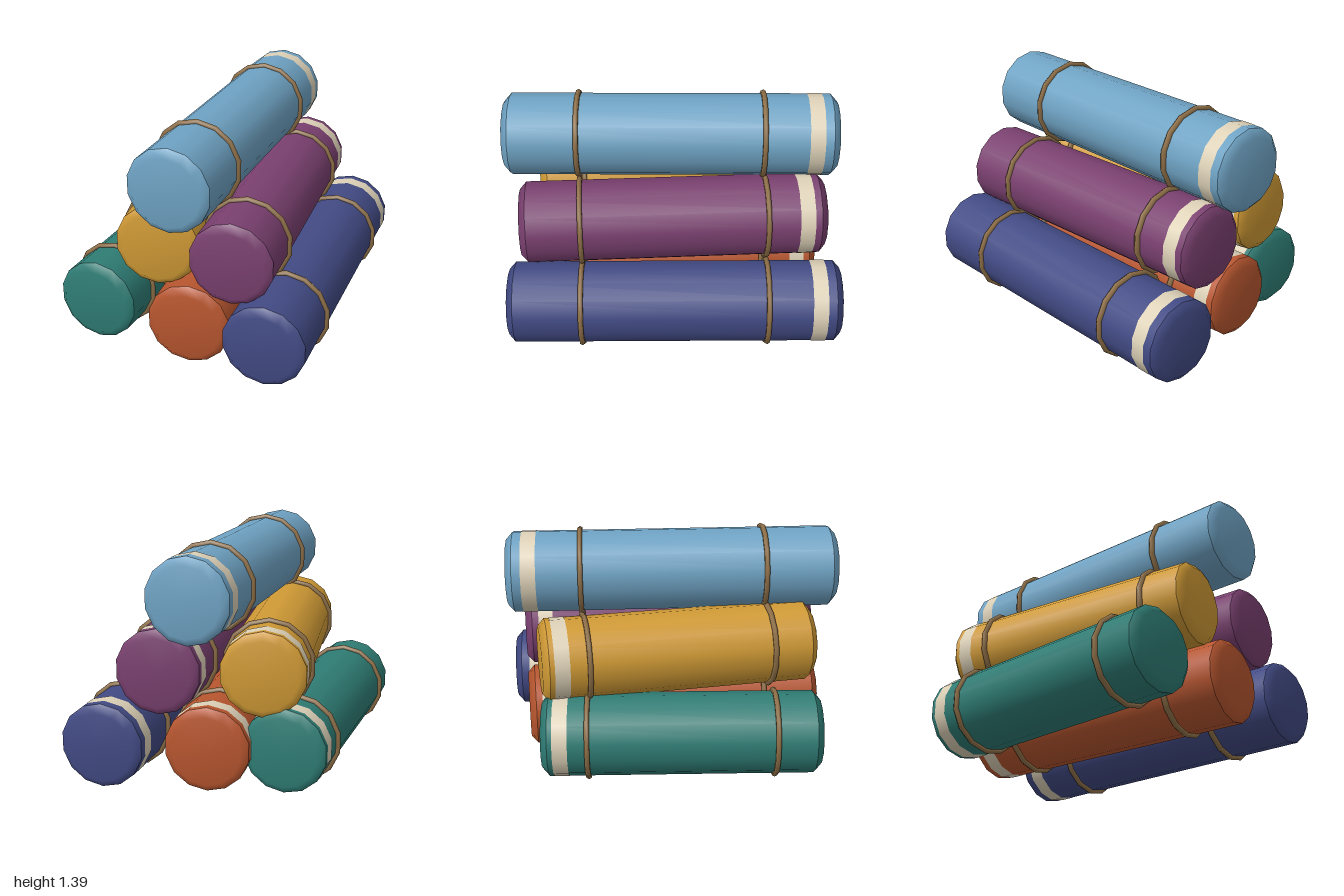
import * as THREE from 'three';

const SIDES = 14;
const RADIUS = 0.245;
const CHAMFER = 0.04;
const CREAM = 0xded2b8;
const BROWN = 0x8f7048;

// name, colour, centre x, centre y, half length, sideways lean of the front end
const ROLLS = [
  ['tealRoll', 0x2f7d75, -0.507, 0.27, 0.82, -0.086],
  ['orangeRoll', 0xb8562f, 0.005, 0.27, 0.9, 0.028],
  ['navyRoll', 0x424b85, 0.535, 0.27, 0.988, -0.037],
  ['yellowRoll', 0xd09a35, -0.25, 0.7, 0.82, 0.088],
  ['purpleRoll', 0x7a4070, 0.272, 0.7, 0.905, 0.0145],
  ['lightBlueRoll', 0x6fa3c4, 0.01, 1.126, 0.99, -0.05],
];

function addMesh(group, name, geometry, material, z = 0) {
  const mesh = new THREE.Mesh(geometry, material);
  mesh.name = name;
  mesh.position.z = z;
  group.add(mesh);
  return mesh;
}

// Open tube along z
function tube(radius, length) {
  return new THREE.CylinderGeometry(radius, radius, length, SIDES, 1, true).rotateX(Math.PI / 2);
}

function createRoll([name, color, x, y, half, lean]) {
  const roll = new THREE.Group();
  roll.name = name;
  const cloth = new THREE.MeshStandardMaterial({ color });
  const cream = new THREE.MeshStandardMaterial({ color: CREAM });
  const cord = new THREE.MeshStandardMaterial({ color: BROWN });

  addMesh(roll, 'body', tube(RADIUS, 2 * (half - CHAMFER)), cloth);

  // Bevelled ends, softly shaded
  const profile = [[RADIUS, -CHAMFER], [0.2, 0], [0, 0]].map((p) => new THREE.Vector2(...p));
  const cap = new THREE.LatheGeometry(profile, SIDES).rotateX(Math.PI / 2);
  addMesh(roll, 'frontCap', cap, cloth, half);
  addMesh(roll, 'backCap', cap, cloth, -half).rotation.y = Math.PI;

  // Pale band near the back
  addMesh(roll, 'band', tube(RADIUS + 0.002, 0.088), cream, -half * 0.863);

  // Two cord ties
  const ring = new THREE.TorusGeometry(0.251, 0.017, 6, SIDES).rotateZ(Math.PI / 2);
  for (const side of [1, -1]) {
    addMesh(roll, side > 0 ? 'frontTie' : 'backTie', ring, cord, side * 0.55);
  }

  roll.position.set(x, y, 0);
  roll.rotation.y = Math.atan(lean);
  return roll;
}

export function createModel() {
  const model = new THREE.Group();
  model.name = 'rollStack';
  ROLLS.forEach((spec) => model.add(createRoll(spec)));
  return model;
}
